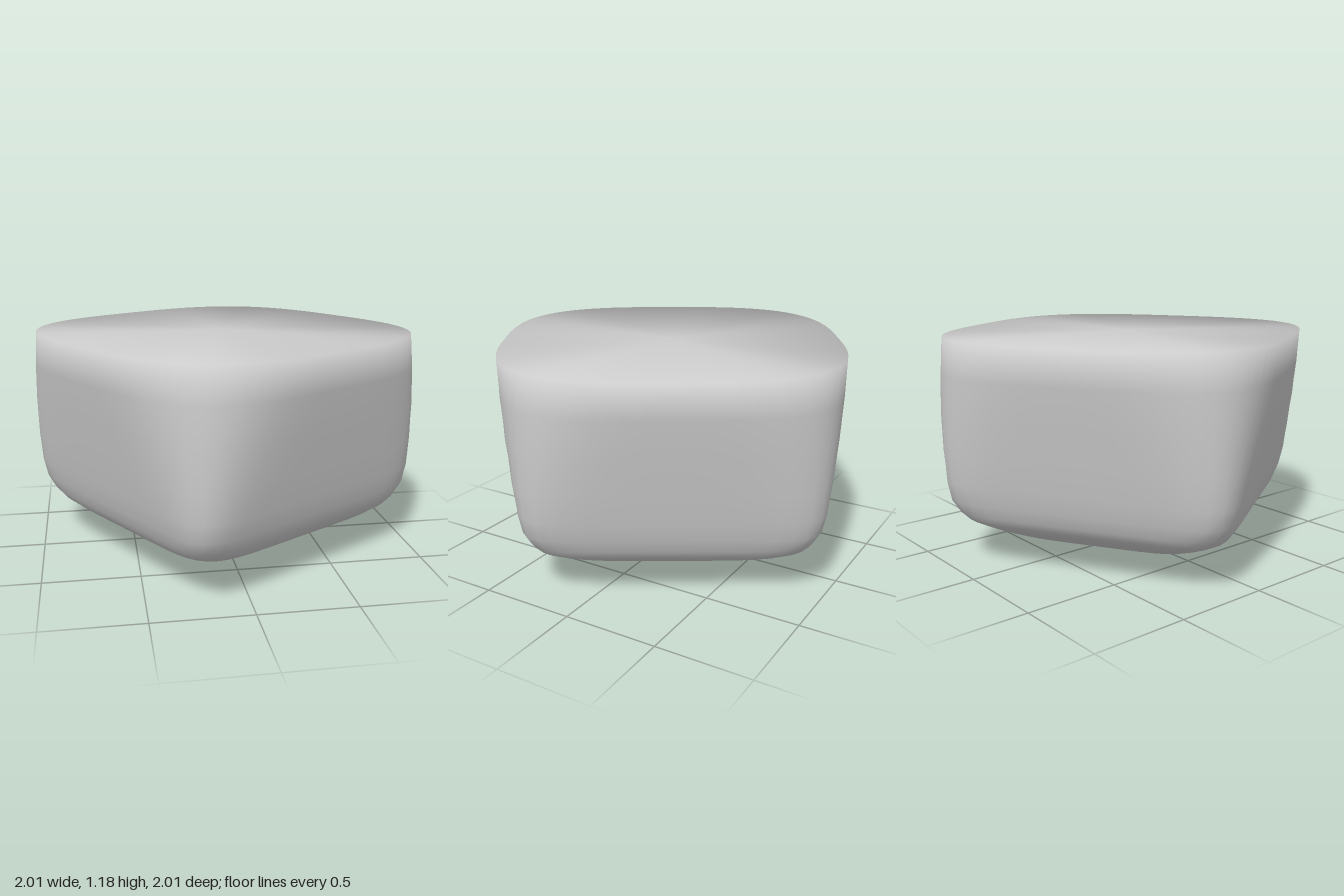
import * as THREE from 'three';

const SEGMENTS = 96;
const TURN = THREE.MathUtils.degToRad(14); // corners sit a little off the axes

// Rounded-square section: half width at the sides, radius at the corners
function sectionRadius(angle, side, corner) {
  const p = 1 / (0.5 - Math.log2(corner / side));
  const t = angle - TURN - Math.PI / 4;
  const sum = Math.abs(Math.cos(t)) ** p + Math.abs(Math.sin(t)) ** p;
  return side / sum ** (1 / p);
}

export function createModel() {
  // Sections from bottom to rim: height, side distance, corner radius
  const sections = [];
  for (let i = 0; i < 8; i++) {
    const s = i === 0 ? 0.001 : i / 8;
    sections.push([0.2 * s * s, 0.66 * s, 0.84 * s]); // domed underside
  }
  sections.push(
    [0.2, 0.66, 0.84], [0.235, 0.70, 0.91], [0.28, 0.73, 0.955],
    [0.35, 0.755, 1.0], [0.45, 0.78, 1.02], [0.6, 0.805, 1.028],
    [0.8, 0.84, 1.028], [1.0, 0.87, 1.018], [1.18, 0.89, 1.0],
  );

  const positions = [];
  const indices = [];
  for (const [y, side, corner] of sections) {
    for (let j = 0; j < SEGMENTS; j++) {
      const angle = TURN + (j / SEGMENTS) * Math.PI * 2;
      const r = sectionRadius(angle, side, corner);
      positions.push(r * Math.cos(angle), y, r * Math.sin(angle));
    }
  }

  // Skin between neighbouring sections
  for (let i = 0; i < sections.length - 1; i++) {
    for (let j = 0; j < SEGMENTS; j++) {
      const k = (j + 1) % SEGMENTS;
      const a = i * SEGMENTS + j, b = i * SEGMENTS + k;
      indices.push(a, a + SEGMENTS, b, b, a + SEGMENTS, b + SEGMENTS);
    }
  }

  // Flat top and the tiny closing fan at the bottom
  const rim = (sections.length - 1) * SEGMENTS;
  const topCentre = positions.length / 3;
  positions.push(0, 1.18, 0, 0, 0, 0);
  for (let j = 0; j < SEGMENTS; j++) {
    const k = (j + 1) % SEGMENTS;
    indices.push(topCentre, rim + k, rim + j);
    indices.push(topCentre + 1, j, k);
  }

  const geometry = new THREE.BufferGeometry();
  geometry.setAttribute('position', new THREE.Float32BufferAttribute(positions, 3));
  geometry.setIndex(indices);
  geometry.computeVertexNormals();

  // Soft shading over the rim: normals halfway between wall and top
  const normal = geometry.attributes.normal;
  const n = new THREE.Vector3();
  for (let j = 0; j < SEGMENTS; j++) {
    n.fromBufferAttribute(normal, rim - SEGMENTS + j).setY(0).normalize().setY(1).normalize();
    normal.setXYZ(rim + j, n.x, n.y, n.z);
  }

  const body = new THREE.Mesh(geometry, new THREE.MeshStandardMaterial({ color: 0xcccccc }));
  body.name = 'roundedBlock';
  const group = new THREE.Group();
  group.name = 'softCornerBlock';
  group.add(body);
  return group;
}
